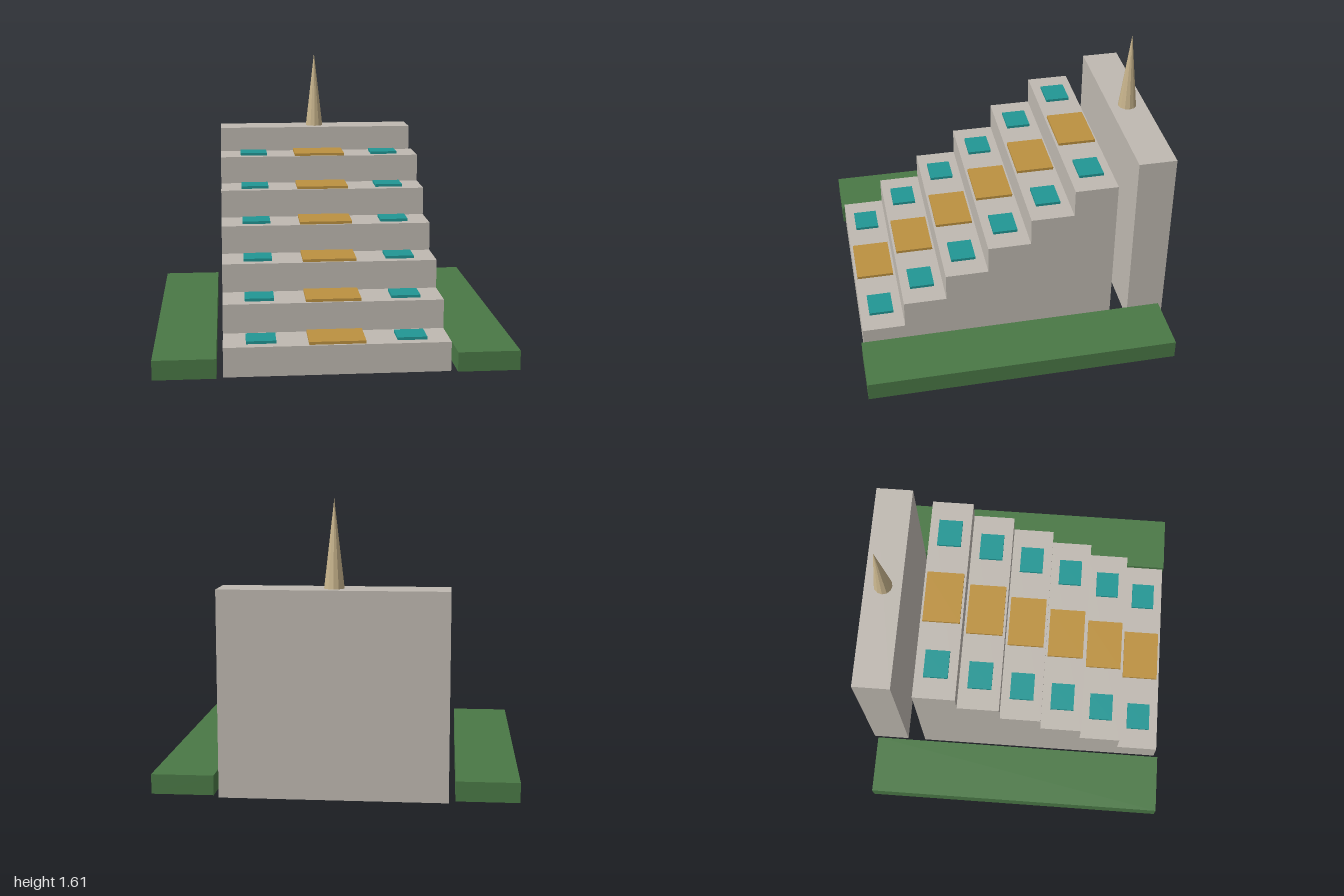
import * as THREE from 'three';

const material = (name, color) => {
  const m = new THREE.MeshStandardMaterial({ color });
  m.name = name;
  return m;
};

export function createModel() {
  const group = new THREE.Group();
  const stone = material('stone', 0xbfb9b1);
  const green = material('hedge green', 0x4a7846);
  const gold = material('gold', 0xbc9140);
  const teal = material('teal', 0x219694);
  const tan = material('spire tan', 0xc8b48c);
  tan.flatShading = true;

  const add = (name, geometry, mat, x, y, z) => {
    const mesh = new THREE.Mesh(geometry, mat);
    mesh.name = name;
    mesh.position.set(x, y, z);
    group.add(mesh);
  };
  // box standing on height y
  const box = (name, mat, w, h, d, x, y, z) =>
    add(name, new THREE.BoxGeometry(w, h, d), mat, x, y + h / 2, z);

  const steps = 6, rise = 0.166, front = 0.901, back = -0.588;
  const run = (front - back) / steps, width = 1.24;

  // stepped terraces: side profile extruded across the width
  const profile = new THREE.Shape();
  profile.moveTo(back, 0);
  profile.lineTo(front, 0);
  for (let i = 0; i < steps; i++) {
    profile.lineTo(front - i * run, (i + 1) * rise);
    profile.lineTo(front - (i + 1) * run, (i + 1) * rise);
  }
  profile.closePath();
  const terraces = new THREE.ExtrudeGeometry(profile, { depth: width, bevelEnabled: false });
  terraces.rotateY(-Math.PI / 2); // profile x becomes +z
  add('terraces', terraces, stone, width / 2, 0, 0);

  // one gold panel and two teal pools on every terrace
  for (let i = 0; i < steps; i++) {
    const y = (i + 1) * rise, z = front - (i + 0.5) * run;
    box('goldPanel', gold, 0.31, 0.016, 0.22, 0, y, z);
    for (const side of [-1, 1]) box('tealPool', teal, 0.164, 0.016, 0.142, side * 0.413, y, z);
  }

  // rear wall with spire
  box('rearWall', stone, width, 1.132, 0.22, 0, 0, -0.808);
  add('spire', new THREE.ConeGeometry(0.055, 0.474, 12), tan, 0, 1.132 + 0.237, -0.808);

  // low hedges on both sides
  for (const side of [-1, 1]) box('hedge', green, 0.345, 0.11, 1.795, side * 0.8275, 0, 0.018);

  return group;
}
